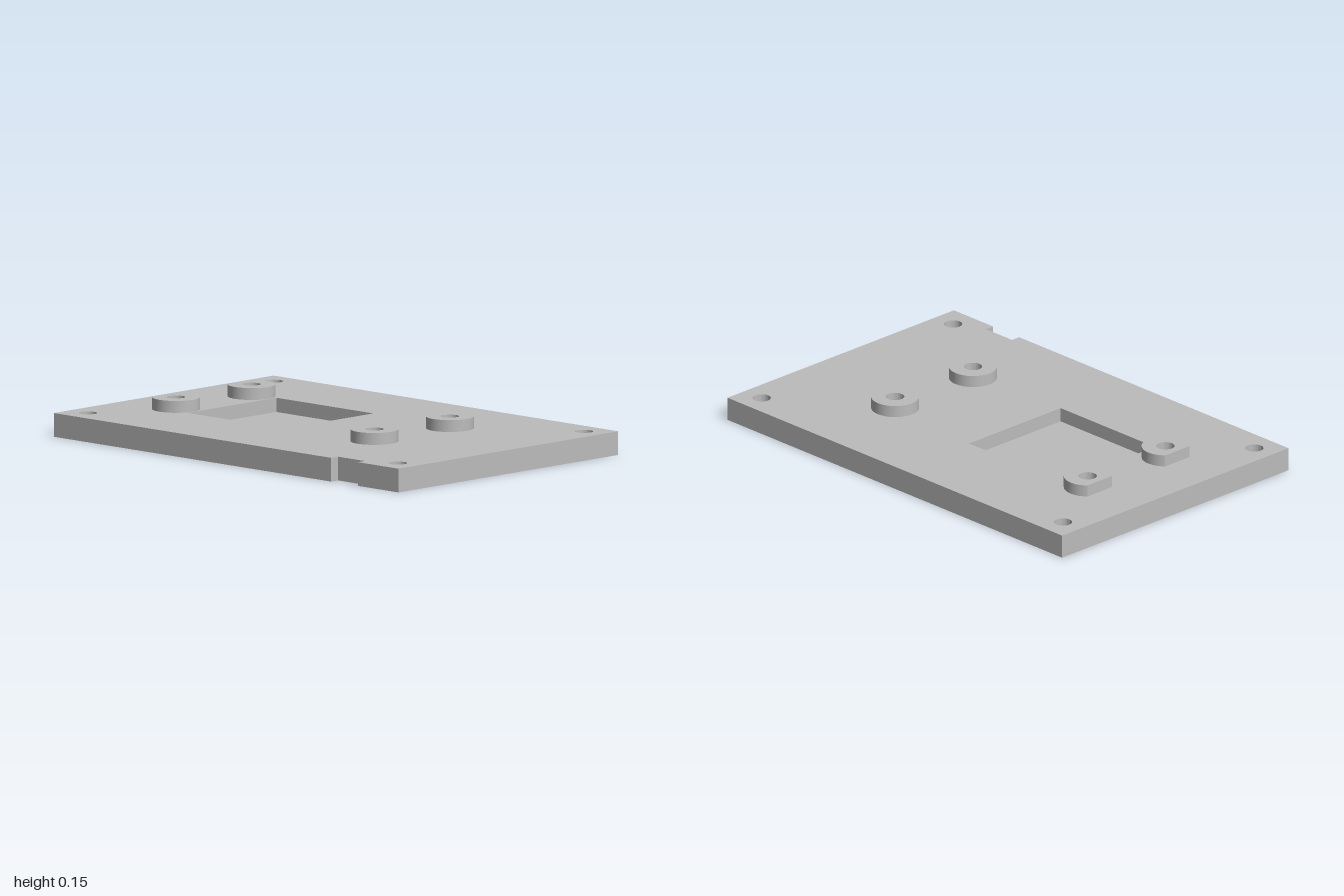
import * as THREE from 'three';
import { mergeGeometries, toCreasedNormals } from 'three/addons/utils/BufferGeometryUtils.js';

const TOP = 0.1, BOSS_TOP = 0.15, POCKET_FLOOR = 0.04, BORE_TOP = 0.05;
const HOLE_R = 0.038, BORE_R = 0.07, BOSS_R = 0.1;

// Outlines are drawn in plan: (x, -z), counter-clockwise
const plan = (pairs) => pairs.map(([x, z]) => new THREE.Vector2(x, -z));
const circle = (x, z, r, minX = -9, n = 48) =>
  Array.from({ length: n }, (_, i) => {
    const a = (i / n) * Math.PI * 2;
    return new THREE.Vector2(Math.max(minX, x + r * Math.cos(a)), -z + r * Math.sin(a));
  });

// Flat horizontal face with holes
function face(outline, holes, y, up = true) {
  const shape = new THREE.Shape(outline);
  shape.holes = holes.map((h) => new THREE.Path(h));
  const g = new THREE.ShapeGeometry(shape);
  if (!up) g.setIndex(Array.from(g.index.array).reverse());
  return g.rotateX(-Math.PI / 2).translate(0, y, 0).toNonIndexed();
}

// Vertical wall along an outline; inner walls face into the opening
function wall(outline, y0, y1, inner = false) {
  const pts = inner ? [...outline].reverse() : outline;
  const pos = [];
  pts.forEach((a, i) => {
    const b = pts[(i + 1) % pts.length];
    const quad = [[a, y0], [b, y0], [b, y1], [a, y0], [b, y1], [a, y1]];
    quad.forEach(([p, y]) => pos.push(p.x, y, -p.y));
  });
  const g = new THREE.BufferGeometry();
  g.setAttribute('position', new THREE.Float32BufferAttribute(pos, 3));
  return g;
}

export function createModel() {
  const group = new THREE.Group();
  const grey = new THREE.MeshStandardMaterial({ color: 0xbcbcbc });
  grey.name = 'grey';

  function add(name, parts) {
    parts.forEach((p) => {
      p.deleteAttribute('normal');
      p.deleteAttribute('uv');
    });
    const mesh = new THREE.Mesh(toCreasedNormals(mergeGeometries(parts), 0.6), grey);
    mesh.name = name;
    group.add(mesh);
  }

  // Plate outline with the cable notch in the front edge
  const outline = plan([
    [-1, 0.655], [0.61, 0.655], [0.61, 0.614], [0.765, 0.614],
    [0.765, 0.655], [1, 0.655], [1, -0.655], [-1, -0.655],
  ]);
  const pocket = plan([[-0.604, 0.265], [-0.041, 0.265], [-0.041, -0.265], [-0.604, -0.265]]);

  const corners = [], bosses = [];
  for (const z of [-1, 1]) {
    for (const x of [-0.9, 0.9]) corners.push([x, z * 0.554]);
    // The bosses beside the pocket have a flat on their outer side
    bosses.push([-0.709, z * 0.225, -0.78], [0.442, z * 0.225, -9]);
  }
  const holes = [...corners, ...bosses];
  const bossOutline = ([x, z, minX]) => circle(x, z, BOSS_R, minX);

  add('plate', [
    face(outline, holes.map(([x, z]) => circle(x, z, BORE_R)), 0, false),
    face(outline, [pocket, ...corners.map(([x, z]) => circle(x, z, HOLE_R)), ...bosses.map(bossOutline)], TOP),
    wall(outline, 0, TOP),
  ]);

  add('pocket', [face(pocket, [], POCKET_FLOOR), wall(pocket, POCKET_FLOOR, TOP, true)]);

  // Raised bosses
  bosses.forEach((b) => {
    const rim = bossOutline(b);
    add('boss', [face(rim, [circle(b[0], b[1], HOLE_R)], BOSS_TOP), wall(rim, TOP, BOSS_TOP)]);
  });

  // Screw holes, counterbored from below
  holes.forEach(([x, z], i) => {
    const hole = circle(x, z, HOLE_R), bore = circle(x, z, BORE_R);
    add('screwHole', [
      wall(bore, 0, BORE_TOP, true),
      face(bore, [hole], BORE_TOP, false),
      wall(hole, BORE_TOP, i < corners.length ? TOP : BOSS_TOP, true),
    ]);
  });

  return group;
}
